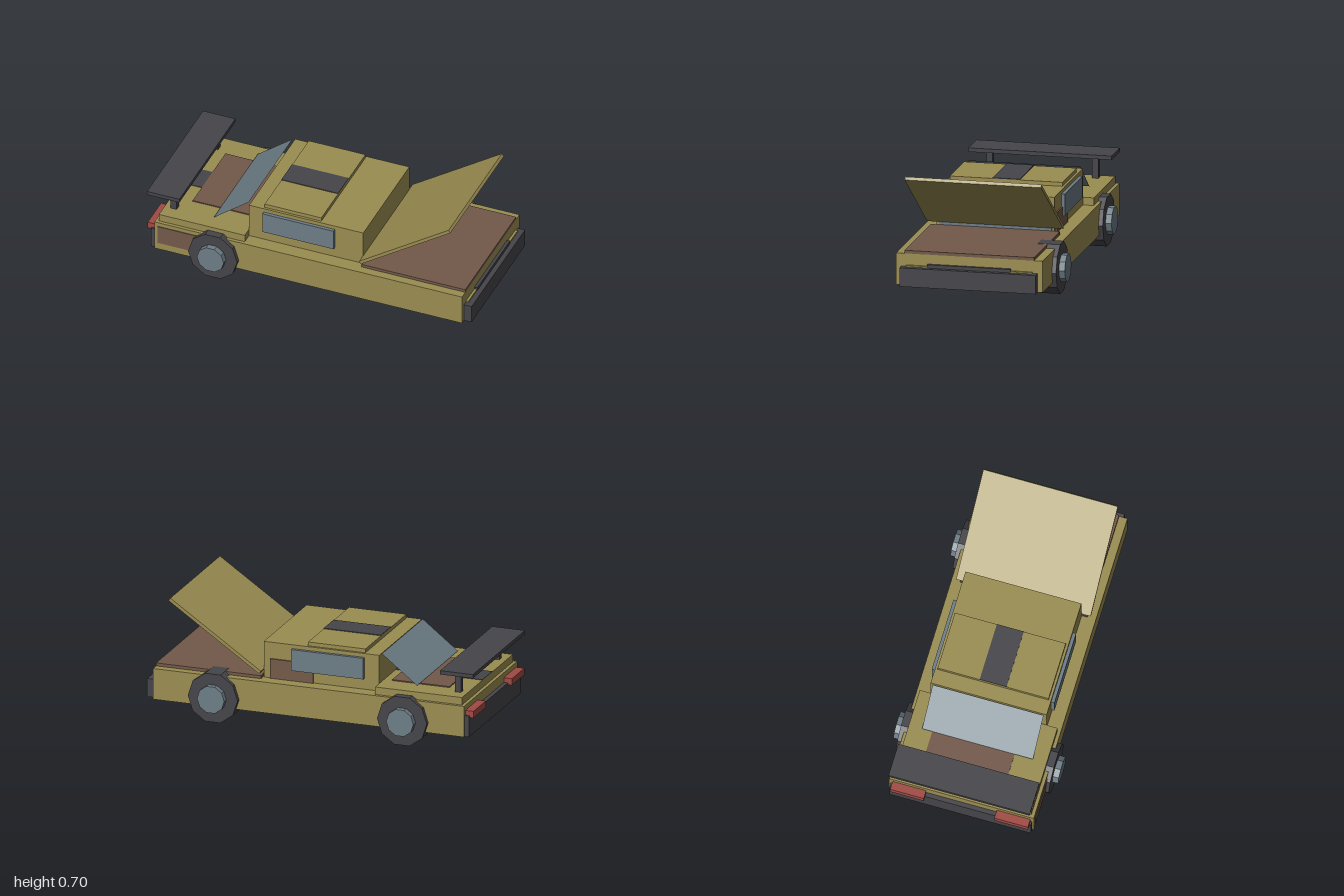
import * as THREE from 'three';

const flat = (name, color) => {
  const m = new THREE.MeshStandardMaterial({ color });
  m.name = name;
  return m;
};

export function createModel() {
  const car = new THREE.Group();
  car.name = 'car';
  const paint = flat('olivePaint', 0x9a8d51);
  const dark = flat('darkTrim', 0x454449);
  const glass = flat('blueGrey', 0x6d7d86);
  const rust = flat('rustBrown', 0x725949);
  const red = flat('tailRed', 0xa04a43);
  const pane = flat('windowPane', 0x6d7d86);
  pane.side = THREE.DoubleSide;

  const add = (name, geometry, material) => {
    const mesh = new THREE.Mesh(geometry, material);
    mesh.name = name;
    car.add(mesh);
    return mesh;
  };
  // Box given by its limits on each axis
  const box = (name, material, x0, x1, y0, y1, z0, z1) => {
    const mesh = add(name, new THREE.BoxGeometry(x1 - x0, y1 - y0, z1 - z0), material);
    mesh.position.set((x0 + x1) / 2, (y0 + y1) / 2, (z0 + z1) / 2);
    return mesh;
  };

  // Bodywork
  box('body', paint, -0.95, 0.95, 0.085, 0.27, -0.43, 0.43);
  box('rearDeck', paint, -0.93, -0.4, 0.27, 0.315, -0.41, 0.41);
  box('cabin', paint, -0.4, 0.305, 0.27, 0.485, -0.345, 0.345);
  box('roofPanel', paint, -0.31, 0.04, 0.485, 0.508, -0.33, 0.33);
  box('engineBay', rust, 0.31, 0.95, 0.27, 0.288, -0.38, 0.38);

  // Raised hood, hinged at the cabin
  const hood = add('hood', new THREE.BoxGeometry(0.668, 0.02, 0.8), paint);
  hood.position.set(0.584, 0.501, 0);
  hood.rotation.z = Math.atan2(0.373, 0.55);

  // Racing stripes
  box('roofStripe', dark, -0.31, 0.04, 0.508, 0.512, -0.08, 0.08);
  box('deckStripe', dark, -0.93, -0.4, 0.315, 0.318, -0.08, 0.08);

  // Rust patches
  box('deckRust', rust, -0.8, -0.45, 0.315, 0.321, -0.27, 0.22);
  box('sideRust', rust, -0.93, -0.58, 0.13, 0.245, 0.43, 0.434);
  box('cabinRust', rust, 0, 0.265, 0.27, 0.387, -0.354, -0.345);

  // Windows
  for (const s of [-1, 1]) {
    box('sideWindow', glass, -0.31, 0.13, 0.335, 0.462, s * 0.355 - 0.01, s * 0.355 + 0.01);
  }
  box('windshieldBase', glass, 0.305, 0.309, 0.27, 0.306, -0.33, 0.33);
  const rear = new THREE.PlaneGeometry(0.66, 0.272);
  rear.rotateY(-Math.PI / 2);
  rear.rotateZ(-Math.atan2(0.215, 0.167));
  add('rearWindow', rear, pane).position.set(-0.5175, 0.408, 0);

  // Front end
  box('frontBumper', dark, 0.95, 0.997, 0.085, 0.195, -0.4, 0.4);
  box('grille', dark, 0.95, 0.968, 0.1, 0.215, -0.245, 0.245);
  // Rear end
  box('rearBumper', dark, -0.976, -0.95, 0.085, 0.212, -0.42, 0.42);
  box('spoilerWing', dark, -1, -0.8, 0.442, 0.465, -0.42, 0.42);
  for (const s of [-1, 1]) {
    box('headlightPanel', paint, 0.95, 0.965, 0.1, 0.203, s * 0.2925 - 0.0775, s * 0.2925 + 0.0775);
    box('tailLight', red, -1, -0.95, 0.2, 0.24, s * 0.31 - 0.1, s * 0.31 + 0.1);
    box('spoilerPost', dark, -0.892, -0.855, 0.315, 0.442, s * 0.31 - 0.018, s * 0.31 + 0.018);
  }

  // Ten-sided wheels; the left front one is missing
  const disc = (radius, depth) =>
    new THREE.CylinderGeometry(radius, radius, depth, 10).rotateX(Math.PI / 2).rotateZ(Math.PI / 2).toNonIndexed();
  const tireShape = disc(0.152, 0.135);
  const hubShape = disc(0.083, 0.17);
  tireShape.computeVertexNormals();
  hubShape.computeVertexNormals();
  for (const [x, s] of [[-0.58, 1], [-0.58, -1], [0.575, -1]]) {
    add('tire', tireShape, dark).position.set(x, 0.1446, s * 0.3875);
    add('hub', hubShape, glass).position.set(x, 0.1446, s * 0.405);
  }
  return car;
}
